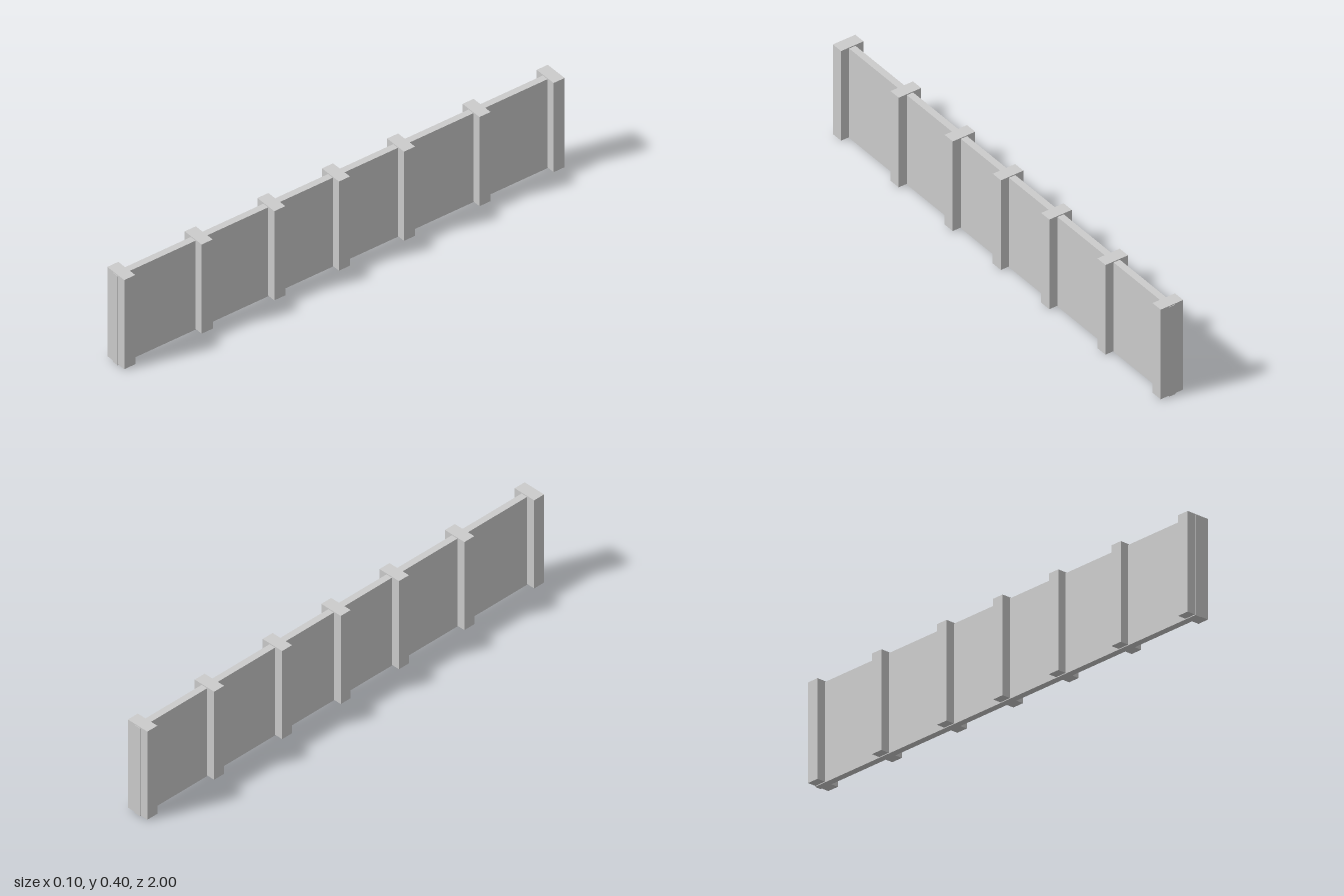
import * as THREE from 'three';

export function createModel() {
  const fence = new THREE.Group();
  fence.name = 'fence';
  const material = new THREE.MeshStandardMaterial({ color: 0xcccccc, flatShading: true });

  // Box spanning a height range, centred on x = 0
  function addBox(name, width, bottom, top, depth, z) {
    const mesh = new THREE.Mesh(new THREE.BoxGeometry(width, top - bottom, depth), material);
    mesh.name = name;
    mesh.position.set(0, (bottom + top) / 2, z);
    fence.add(mesh);
  }

  // Thin wall running the full length, just below the post tops
  addBox('panel', 0.028, 0, 0.398, 2, 0);

  // Upright posts straddling the wall
  const postCentres = [0.973, 0.622, 0.293, 0, -0.295, -0.637, -0.973];
  postCentres.forEach((z, i) => addBox(`post${i + 1}`, 0.1, 0.003, 0.402, 0.05, z));

  return fence;
}
